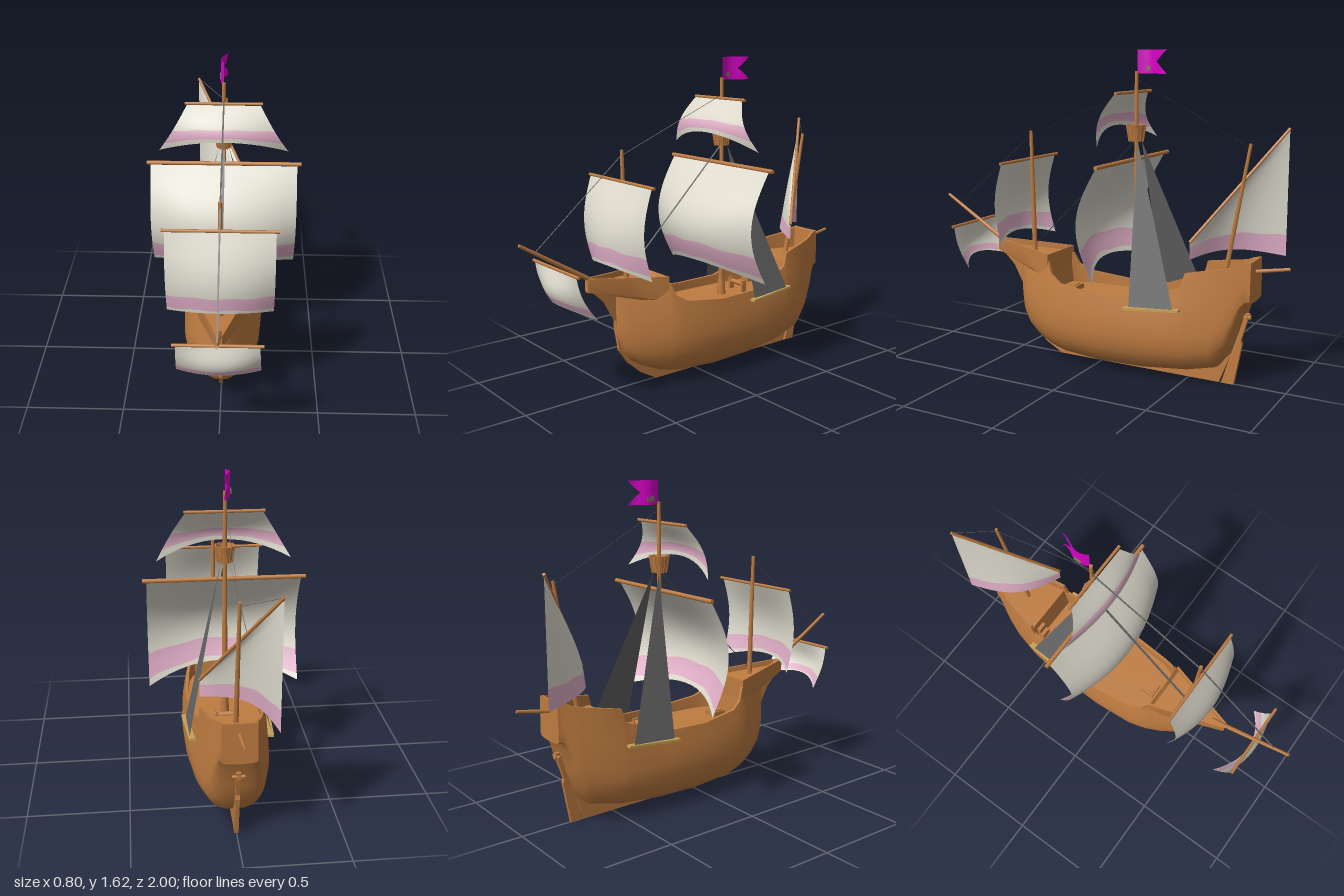
import * as THREE from 'three';
import { toCreasedNormals } from 'three/addons/utils/BufferGeometryUtils.js';

const mat = (name, color, side = THREE.FrontSide) => {
  const m = new THREE.MeshStandardMaterial({ color, side });
  m.name = name;
  return m;
};
const V = (x, y, z) => new THREE.Vector3(x, y, z);
const lerp = THREE.MathUtils.lerp;

export function createModel() {
  const wood = mat('wood', 0xbf7c41);
  const canvas = mat('canvas', 0xdedacd, THREE.DoubleSide);
  const pink = mat('pink band', 0xe0aec6, THREE.DoubleSide);
  const rope = mat('rope', 0x646464, THREE.DoubleSide);
  const tan = mat('tan wood', 0xc8a254);
  const magenta = mat('flag magenta', 0xd800c6, THREE.DoubleSide);
  const olive = mat('flag patch olive', 0x7d7a58);

  const ship = new THREE.Group();
  ship.name = 'sailingShip';
  const add = (name, geo, material, x = 0, y = 0, z = 0) => {
    const m = new THREE.Mesh(geo, material);
    m.name = name;
    m.position.set(x, y, z);
    ship.add(m);
    return m;
  };
  const aim = (mesh, a, b) => {
    mesh.position.copy(a).add(b).multiplyScalar(0.5);
    mesh.quaternion.setFromUnitVectors(V(0, 1, 0), b.clone().sub(a).normalize());
  };
  const rod = (name, a, b, r0, r1 = r0) =>
    aim(add(name, new THREE.CylinderGeometry(r1, r0, a.distanceTo(b), 8), wood), a, b);
  const stay = (name, a, b, w = 0.008) =>
    aim(add(name, new THREE.PlaneGeometry(w, a.distanceTo(b)), rope), a, b);
  const box = (name, w, h, d, x, y, z, material = wood) =>
    add(name, new THREE.BoxGeometry(w, h, d), material, x, y, z);
  const surface = (pos, idx) => {
    const g = new THREE.BufferGeometry();
    g.setAttribute('position', new THREE.Float32BufferAttribute(pos, 3));
    g.setIndex(idx);
    g.computeVertexNormals();
    return g;
  };

  // Skin over half sections (bottom centre to deck centre), mirrored, stern to bow
  const loft = (rows) => {
    const pos = [], idx = [];
    const rings = rows.map(({ z, half }) => {
      const mirrored = half.slice(1, -1).reverse().map(([x, y]) => [-x, y]);
      return [...half, ...mirrored].map(([x, y]) => [x, y, z]);
    });
    const n = rings[0].length, last = (rings.length - 1) * n;
    rings.forEach((r) => r.forEach((p) => pos.push(...p)));
    for (let i = 0; i < rings.length - 1; i++) {
      for (let j = 0; j < n; j++) {
        const a = i * n + j, b = i * n + (j + 1) % n;
        idx.push(a, b, b + n, a, b + n, a + n);
      }
    }
    for (let j = 1; j < n - 1; j++) idx.push(0, j + 1, j, last, last + j, last + j + 1);
    return toCreasedNormals(surface(pos, idx), 0.6);
  };

  // Hull stations: z, bottom, widest half width, rail half width, rail height
  const stations = [
    [-0.835, 0.435, 0.085, 0.08, 0.64], [-0.815, 0.43, 0.09, 0.083, 0.637],
    [-0.81, 0.428, 0.092, 0.085, 0.635], [-0.79, 0.39, 0.1, 0.09, 0.63],
    [-0.76, 0.27, 0.115, 0.102, 0.615], [-0.72, 0.16, 0.13, 0.114, 0.605],
    [-0.66, 0.085, 0.15, 0.13, 0.595], [-0.53, 0.055, 0.182, 0.155, 0.57], [-0.51, 0.05, 0.186, 0.16, 0.5],
    [-0.29, 0.028, 0.208, 0.186, 0.417], [-0.05, 0.022, 0.212, 0.192, 0.413],
    [0.16, 0.035, 0.198, 0.172, 0.435], [0.22, 0.048, 0.184, 0.152, 0.47],
    [0.248, 0.055, 0.176, 0.136, 0.53], [0.26, 0.058, 0.172, 0.126, 0.535],
    [0.34, 0.09, 0.138, 0.09, 0.52], [0.41, 0.135, 0.099, 0.062, 0.51],
    [0.455, 0.19, 0.064, 0.042, 0.51], [0.48, 0.26, 0.034, 0.026, 0.51], [0.49, 0.31, 0.013, 0.013, 0.51],
  ];
  const deckAt = (z, rail) => {
    if (z < -0.812 || z > 0.255) return rail - 0.001;
    return z < -0.52 ? 0.52 : 0.367;
  };
  add('hull', loft(stations.map(([z, yb, w, wt, yt]) => {
    const half = [[0, yb]], ym = 0.235 + yb / 2;
    for (let k = 1; k <= 7; k++) {
      const a = (k / 7) * Math.PI / 2;
      half.push([w * Math.sin(a) ** 0.76, ym - (ym - yb) * Math.max(Math.cos(a), 0) ** 0.9]);
    }
    for (let s = 1; s <= 3; s++) half.push([lerp(w, wt, (s / 3) ** 1.5), lerp(ym, yt, s / 3)]);
    const wi = Math.max(wt - 0.015, 0.005), deck = deckAt(z, yt);
    half.push([wi, yt], [wi, deck], [0, deck]);
    return { z, half };
  })), wood);

  // Forecastle: pointed platform with low bulwarks, tapering evenly to the bow
  add('forecastle', loft([0, 0.04, 0.5, 0.96, 1].map((t) => {
    const w = lerp(0.135, 0.014, t), yb = lerp(0.43, 0.532, t), yt = lerp(0.57, 0.6, t);
    const deck = yt - (t === 0 || t === 1 ? 0.001 : 0.028);
    const wi = Math.max(w - 0.012, 0.003);
    return {
      z: lerp(0.255, 0.65, t),
      half: [[0, yb], [w * 0.9, yb], [w, yb + 0.012], [w, yt], [wi, yt], [wi, deck], [0, deck]],
    };
  })), wood);

  // Flat parts drawn in the side plane as [z, y] and extruded across x
  const sidePlate = (name, pts, t) => {
    const s = new THREE.Shape(pts.map(([z, y]) => new THREE.Vector2(-z, y)));
    const g = new THREE.ExtrudeGeometry(s, { depth: t, bevelEnabled: false });
    g.translate(0, 0, -t / 2).rotateY(Math.PI / 2);
    add(name, g, wood);
  };
  sidePlate('keel', [[0.25, 0], [-0.66, 0], [-0.715, 0.14], [-0.785, 0.36], [-0.75, 0.36], [-0.6, 0.12],
    [0.2, 0.1], [0.36, 0.15], [0.45, 0.53], [0.64, 0.545], [0.55, 0.46], [0.495, 0.36], [0.475, 0.2],
    [0.42, 0.12], [0.34, 0.05]], 0.018);
  sidePlate('rudder', [[-0.672, 0], [-0.737, 0], [-0.776, 0.21], [-0.77, 0.23], [-0.81, 0.37],
    [-0.79, 0.37]], 0.02);
  rod('tiller', V(0, 0.35, -0.75), V(0, 0.35, -0.815), 0.012);
  rod('rudderPin', V(-0.03, 0.35, -0.8), V(0.03, 0.35, -0.8), 0.008);

  // Masts and spars
  rod('mainMast', V(0, 0.36, -0.195), V(0, 1.52, -0.19), 0.015, 0.009);
  rod('mastFoot', V(0, 0.36, -0.195), V(0, 0.45, -0.195), 0.024, 0.018);
  rod('foreMast', V(0, 0.5, 0.418), V(0, 1.2, 0.436), 0.014, 0.009);
  rod('mizzenMast', V(0, 0.5, -0.67), V(0, 1.19, -0.79), 0.013, 0.008);
  rod('bowsprit', V(0, 0.55, 0.56), V(0, 0.815, 0.998), 0.013, 0.008);
  rod('sternSpar', V(0, 0.58, -0.82), V(0, 0.612, -1), 0.01, 0.008);
  const yard = (name, w, y, z, r = 0.008) => rod(name, V(-w, y, z), V(w, y, z), r);
  yard('mainYard', 0.4, 1.082, -0.18, 0.011);
  yard('topYard', 0.195, 1.417, -0.175);
  yard('foreYard', 0.275, 1.05, 0.445);
  yard('spritYard', 0.208, 0.677, 0.815);
  const y0 = V(0.155, 0.725, -0.555), y1 = V(-0.165, 1.255, -0.925);
  rod('mizzenYard', y0, y1, 0.008);

  // Lookout basket
  const basket = [[0, 1.175], [0.036, 1.175], [0.05, 1.255], [0.043, 1.255], [0.033, 1.19], [0, 1.19]];
  add('lookout', toCreasedNormals(new THREE.LatheGeometry(
    basket.map(([r, y]) => new THREE.Vector2(r, y)), 12), 0.6), wood, 0, 0, -0.19);
  for (let i = 0; i < 12; i++) {
    const a = (i / 12) * Math.PI * 2, c = Math.cos(a), s = Math.sin(a);
    rod('basketSlat', V(0.036 * c, 1.172, -0.19 + 0.036 * s), V(0.05 * c, 1.258, -0.19 + 0.05 * s), 0.0025);
  }

  // Sails: grid of points, the lower band coloured by row
  const ROWS = 20, COLS = 14;
  const sail = (name, point, bandFrom, bandTo) => {
    const pos = [], idx = [], n = COLS + 1;
    for (let i = 0; i <= ROWS; i++) {
      for (let j = 0; j <= COLS; j++) {
        const wave = i >= bandFrom && i < ROWS ? 0.01 * Math.sin(j * 1.3) : 0;
        pos.push(...point(j / COLS, i / ROWS + wave));
      }
    }
    for (let i = 0; i < ROWS; i++) {
      for (let j = 0; j < COLS; j++) {
        const a = i * n + j;
        idx.push(a, a + n, a + n + 1, a, a + n + 1, a + 1);
      }
    }
    const g = surface(pos, idx);
    for (let i = 0; i < ROWS; i++) {
      g.addGroup(i * COLS * 6, COLS * 6, i >= bandFrom && i < bandTo ? 1 : 0);
    }
    add(name, g, [canvas, pink]);
  };
  // top, bottom, half widths, z, belly at edge and centre, foot drift, lift and reach of its centre
  const squareSail = (name, [yt, yb, w0, w1, z0, edge, mid, drift, lift, reach], bandFrom, bandTo) =>
    sail(name, (s, v) => {
      const u = s * 2 - 1, c = 1 - u * u;
      return [u * lerp(w0, w1, v), yt - v * (yt - yb) + lift * c * v * v,
        z0 + drift * v + Math.sin(Math.PI * v) * lerp(edge, mid, c) + reach * c * v * v];
    }, bandFrom, bandTo);
  squareSail('mainSail', [1.075, 0.51, 0.38, 0.38, -0.17, 0.105, 0.15, 0.01, 0.07, 0.13], 15, 19);
  squareSail('topSail', [1.412, 1.17, 0.185, 0.33, -0.165, 0.04, 0.05, 0.015, 0.08, 0.075], 10, 16);
  squareSail('foreSail', [1.045, 0.605, 0.26, 0.26, 0.45, 0.045, 0.07, 0, 0.045, 0.09], 15, 19);
  squareSail('spritSail', [0.672, 0.46, 0.19, 0.2, 0.818, 0.02, 0.05, -0.1, 0.04, 0.09], 15, 19);

  // Slanted aft sail hanging from the mizzen yard
  sail('mizzenSail', (s, v) => {
    const p = y0.clone().lerp(y1, s), foot = lerp(0.64, 0.635, s) + 0.025 * Math.sin(Math.PI * s);
    const bandTop = foot + Math.min(lerp(0.06, 0.1, s), 0.8 * (p.y - foot));
    const y = v < 0.7 ? lerp(p.y, bandTop, v / 0.7) : lerp(bandTop, foot, (v - 0.7) / 0.3);
    const b = 0.055 * Math.sin(Math.PI * s) * Math.sqrt(Math.max(v, 0));
    return [p.x - b, y, p.z + b];
  }, 14, 20);

  // Shrouds and their side ledges
  for (const s of [-1, 1]) {
    add('shroud', surface([0.205 * s, 0.375, -0.255, 0.2 * s, 0.392, -0.49, 0.022 * s, 1.175, -0.21],
      s > 0 ? [0, 1, 2] : [0, 2, 1]), rope);
    const ledge = box('shroudLedge', 0.035, 0.012, 0.29, 0.198 * s, 0.381, -0.375, tan);
    ledge.rotation.set(0.07, 0.07 * s, 0);
  }

  // Stays
  const foreTop = V(0, 1.17, 0.445), mizzenTop = V(0, 1.17, -0.79);
  stay('mainStay', V(0, 1.43, -0.18), foreTop);
  stay('foreStay', foreTop, V(0, 0.77, 0.92));
  stay('lowerStay', V(0, 1.17, -0.18), V(0, 0.6, 0.4), 0.012);
  stay('aftStay', V(0, 1.48, -0.19), mizzenTop, 0.002);
  stay('peakLine', mizzenTop, y1, 0.002);

  // Swallow-tailed flag with a gentle wave and a small plain patch
  const fp = [], fi = [];
  for (let i = 0; i <= 8; i++) {
    const t = i / 8, z = -0.195 - 0.165 * t, x = -0.018 * Math.sin(t * 5);
    const gap = Math.max(0, (t - 0.64) / 0.36) * 0.058;
    for (const y of [1.625, 1.567 + gap, 1.567 - gap, 1.508]) fp.push(x, y, z);
    if (i < 8) for (const k of [0, 2]) {
      const a = i * 4 + k;
      fi.push(a, a + 1, a + 5, a, a + 5, a + 4);
    }
  }
  add('flag', surface(fp, fi), magenta);
  box('flagPatch', 0.004, 0.022, 0.04, -0.019, 1.535, -0.25, olive);

  // Deck fittings
  box('hatchFrame', 0.08, 0.025, 0.075, 0, 0.38, 0.175);
  box('hatchLid', 0.055, 0.02, 0.05, 0, 0.388, 0.175);
  rod('windlass', V(-0.06, 0.41, -0.31), V(0.06, 0.41, -0.31), 0.014);
  for (const s of [-1, 1]) box('windlassPost', 0.012, 0.07, 0.03, 0.05 * s, 0.395, -0.31);
  for (let i = 1; i <= 3; i++) box('stair', 0.05, 0.045 * i, 0.02, -0.1, 0.367 + 0.0225 * i, -0.445 - 0.02 * i);
  return ship;
}
